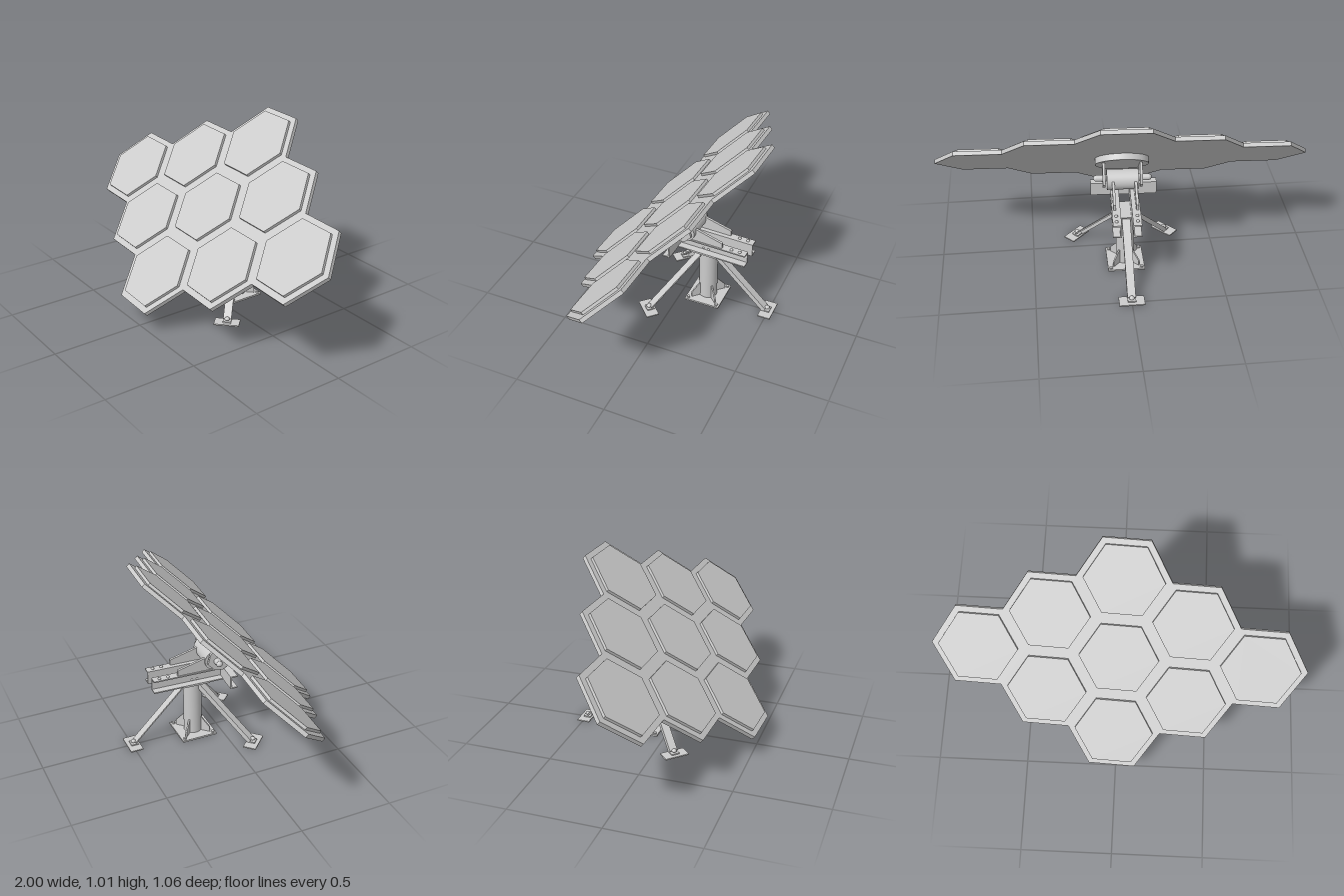
import * as THREE from 'three';

const grey = new THREE.MeshStandardMaterial({ color: 0xcccccc });

function add(parent, name, geometry, x = 0, y = 0, z = 0) {
  const mesh = new THREE.Mesh(geometry, grey);
  mesh.name = name;
  mesh.position.set(x, y, z);
  parent.add(mesh);
  return mesh;
}

function group(parent, name, x = 0, y = 0, z = 0, yaw = 0) {
  const g = new THREE.Group();
  g.name = name;
  g.position.set(x, y, z);
  g.rotation.y = yaw;
  parent.add(g);
  return g;
}

const box = (w, h, d) => new THREE.BoxGeometry(w, h, d);
const rod = (r, h, sides = 32) => new THREE.CylinderGeometry(r, r, h, sides);

// Straight extrusion of an outline given as [x, y] pairs
function slab(points, depth) {
  const shape = new THREE.Shape(points.map(([x, y]) => new THREE.Vector2(x, y)));
  return new THREE.ExtrudeGeometry(shape, { depth, bevelEnabled: false });
}

// Plate lying in the zy plane, centred on x = 0; points are [z, y]
function sidePlate(points, thickness) {
  const g = slab(points.map(([z, y]) => [-z, y]), thickness);
  g.translate(0, 0, -thickness / 2);
  g.rotateY(Math.PI / 2);
  return g;
}

const dome = (r) => new THREE.SphereGeometry(r, 16, 8, 0, Math.PI * 2, 0, Math.PI / 2);

// C-channel running along z, web at x = 0, flanges towards +x
function channel(length, height, flange, t) {
  const h = height / 2;
  const g = slab([[0, -h], [flange, -h], [flange, -h + t], [t, -h + t],
    [t, h - t], [flange, h - t], [flange, h], [0, h]], length);
  g.translate(0, 0, -length / 2);
  return g;
}

// Honeycomb panel with its pivot hardware; local y runs up the panel, z is its normal
function buildPanel(root) {
  const panel = group(root, 'panel', 0, 0.56, 0.045);
  panel.rotation.set(-0.82, -0.045, 0, 'YXZ');
  const R = 0.25, H = R * Math.sqrt(3);

  // Walk round the edge of the nine joined hexagons
  const headings = [180, 240, 180, 240, 180, 240, 300, 0, 300, 0, 300, 0,
    60, 0, 60, 0, 60, 120, 180, 120, 180, 120];
  let x = R / 2, y = 1.5 * H;
  const outline = headings.map((deg) => {
    const a = THREE.MathUtils.degToRad(deg);
    x += R * Math.cos(a);
    y += R * Math.sin(a);
    return [x, y];
  });
  add(panel, 'panelBack', slab(outline, 0.022), 0, 0, -0.011);

  const hexagon = [0, 1, 2, 3, 4, 5].map((i) =>
    [0.213 * Math.cos(i * Math.PI / 3), 0.213 * Math.sin(i * Math.PI / 3)]);
  const tile = slab(hexagon, 0.015);
  for (let i = -1; i <= 1; i++) {
    for (let j = -1; j <= 1; j++) {
      add(panel, 'hexTile', tile, (i - j) * 1.5 * R, (i + j) * H / 2, 0.011);
    }
  }

  // Round mounting flange and the two cheeks that carry the shaft
  add(panel, 'mountDisc', rod(0.145, 0.034, 48), 0, 0, -0.028).rotation.x = Math.PI / 2;
  const cheek = sidePlate([[-0.04, -0.075], [-0.04, 0.06], [-0.11, 0.055], [-0.162, 0.027],
    [-0.165, -0.026], [-0.14, -0.065], [-0.105, -0.075]], 0.014);
  for (const s of [-1, 1]) {
    add(panel, 'cheek', cheek, s * 0.1);
    const bolt = add(panel, 'pivotBolt', dome(0.017), s * 0.14, 0, -0.117);
    bolt.rotation.z = -s * Math.PI / 2;
  }
  add(panel, 'pivotDrum', rod(0.055, 0.17), 0, -0.002, -0.125).rotation.z = Math.PI / 2;
  add(panel, 'pivotShaft', rod(0.018, 0.28), 0, 0, -0.117).rotation.z = Math.PI / 2;
}

// Beams and wedge supports on top of the column
function buildHead(root) {
  const head = group(root, 'head', 0, 0, -0.14, -0.045);
  for (const s of [-1, 1]) {
    const beam = add(head, 'longBeam', channel(0.395, 0.075, 0.045, 0.007), s * 0.03, 0.3725, -0.043);
    if (s < 0) beam.rotation.y = Math.PI;
    add(head, 'wedgeSupport', sidePlate([[0.13, 0.41], [0.13, 0.485], [0.05, 0.485],
      [-0.105, 0.442], [-0.105, 0.41]], 0.014), s * 0.06);
    // Bolts on the web and on the rear of the top flange
    for (const z of [-0.015, 0.015]) {
      for (const y of [0.35, 0.393]) {
        add(head, 'webBolt', dome(0.006), s * 0.037, y, z).rotation.z = -s * Math.PI / 2;
      }
      add(head, 'flangeBolt', dome(0.009), s * 0.055, 0.41, -0.18 + z * 1.6);
    }
  }
  add(head, 'crossBeam', channel(0.36, 0.075, 0.04, 0.007), 0, 0.3725, 0.15).rotation.y = -Math.PI / 2;
  add(head, 'capPlate', box(0.15, 0.008, 0.15), 0, 0.335, 0);
}

function buildColumn(root) {
  const base = group(root, 'columnBase', 0, 0, -0.14);
  add(base, 'column', rod(0.05, 0.33, 40), 0, 0.17, 0);
  add(base, 'basePlate', box(0.2, 0.01, 0.2), 0, 0.005, 0);
  const gusset = sidePlate([[0.045, 0.01], [0.1, 0.01], [0.1, 0.04], [0.052, 0.095], [0.045, 0.095]], 0.008);
  for (let i = 0; i < 4; i++) {
    const corner = group(base, 'baseCorner', 0, 0, 0, Math.PI / 4 + i * Math.PI / 2);
    add(corner, 'gusset', gusset);
    add(corner, 'baseBolt', rod(0.009, 0.008, 12), 0, 0.014, 0.118);
  }
}

// Three angle-iron braces, each ending on a foot plate; local z points outwards
function buildBraces(root) {
  const rise = 0.3, run = 0.3;
  const profile = [[-0.022, 0], [0.022, 0], [0.022, 0.007], [-0.015, 0.007], [-0.015, 0.026], [-0.022, 0.026]];
  for (const yaw of [Math.PI / 4, -Math.PI / 4, Math.PI]) {
    const brace = group(root, 'brace', 0, 0, -0.14, yaw);
    add(brace, 'footPlate', box(0.135, 0.007, 0.07), 0, 0.0035, 0.355);
    const strut = add(brace, 'strut', slab(profile, Math.hypot(rise, run)), 0, 0.022, 0.348);
    strut.rotation.x = Math.atan2(-rise, -run);
    add(brace, 'strutToe', box(0.044, 0.007, 0.04), 0, 0.0105, 0.35);
    add(brace, 'footBolt', dome(0.014), 0, 0.02, 0.352);
  }
}

export function createModel() {
  const root = new THREE.Group();
  root.name = 'tiltedHexPanelStand';
  buildPanel(root);
  buildHead(root);
  buildColumn(root);
  buildBraces(root);
  return root;
}
